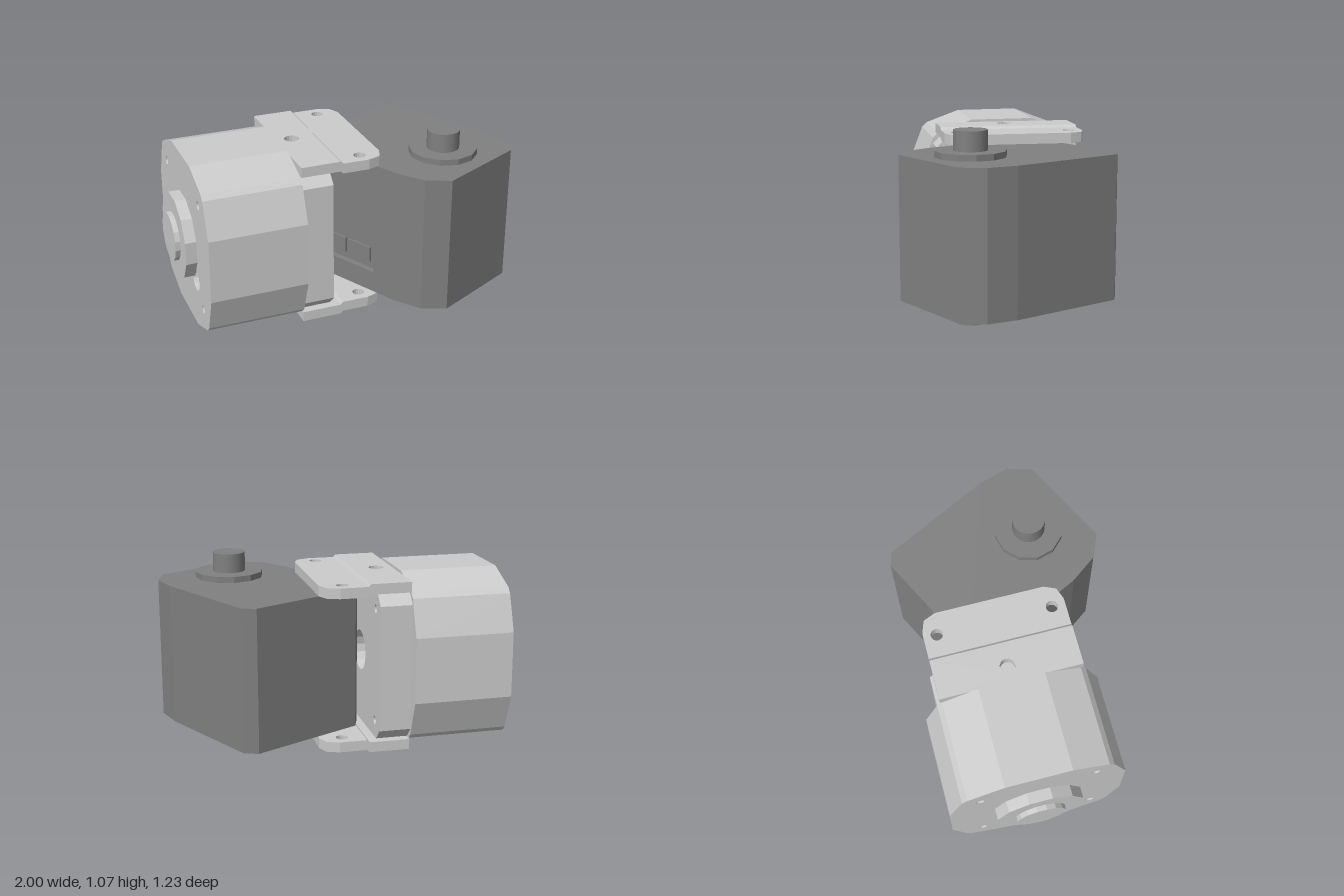
import * as THREE from 'three';

const light = new THREE.MeshStandardMaterial({ color: 0xcccccc });
const dark = new THREE.MeshStandardMaterial({ color: 0x808080 });

// Flat outline with round holes [u, v, radius]
function outline(points, holes = []) {
  const shape = new THREE.Shape(points.map(([u, v]) => new THREE.Vector2(u, v)));
  for (const [u, v, r] of holes) {
    shape.holes.push(new THREE.Path().absarc(u, v, r, 0, Math.PI * 2, true));
  }
  return shape;
}

const extrude = (shape, depth) =>
  new THREE.ExtrudeGeometry(shape, { depth, bevelEnabled: false, curveSegments: 8 });

// Plan outline in (x, z), raised from y0 to y1
function upright(points, holes, y0, y1) {
  const shape = outline(points.map(([x, z]) => [x, -z]), holes.map(([x, z, r]) => [x, -z, r]));
  return extrude(shape, y1 - y0).rotateX(-Math.PI / 2).translate(0, y0, 0);
}

// Outline in (-z, y) about the left motor axis, running from x0 to x1
const AXIS_Y = 0.512, AXIS_Z = -0.108;
const lengthwise = (points, holes, x0, x1) =>
  extrude(outline(points, holes), x1 - x0).rotateY(Math.PI / 2).translate(x0, AXIS_Y, AXIS_Z);

// Repeat one quadrant of a section all the way round
function fourfold(quadrant) {
  const points = [];
  for (let q = 0; q < 4; q++) {
    for (const [u, v] of quadrant) {
      points.push([[u, v], [-v, u], [-u, -v], [v, -u]][q]);
    }
  }
  return points;
}

function add(parent, name, geometry, material) {
  const mesh = new THREE.Mesh(geometry, material);
  mesh.name = name;
  parent.add(mesh);
  return mesh;
}

function createLightMotor() {
  const motor = new THREE.Group();
  motor.name = 'lightMotor';
  const screws = [];
  for (const u of [-0.33, 0.33]) for (const v of [-0.33, 0.33]) screws.push([u, v, 0.025]);

  // Faceted housing, with screw holes and a cable hole beside the end cap
  const section = fourfold([[0.507, 0.19], [0.43, 0.4], [0.4, 0.43], [0.19, 0.51]]
    .map(([u, v]) => [u, v]));
  add(motor, 'housing', lengthwise(section, [...screws, [-0.2, -0.2, 0.07]], -0.905, -0.33), light);

  // Chamfered front block with a central bore
  const block = fourfold([[0.43, 0.365], [0.365, 0.43]]);
  add(motor, 'frontBlock', lengthwise(block, [...screws, [0, 0, 0.12]], -0.33, -0.145), light);

  // Stepped end cap
  for (const [name, r, x0, x1, sides] of [
    ['endCap', 0.26, -0.97, -0.905, 12], ['endStub', 0.145, -1, -0.97, 16]]) {
    const disc = new THREE.CylinderGeometry(r, r, x1 - x0, sides, 1, false, Math.PI / sides)
      .rotateZ(Math.PI / 2).translate((x0 + x1) / 2, AXIS_Y, AXIS_Z);
    add(motor, name, disc.toNonIndexed(), light).geometry.computeVertexNormals();
  }
  return motor;
}

// Jogged bracket plate; the lower one is the upper one turned about the motor axis
function createBracket(name, flipped) {
  const bracket = new THREE.Group();
  bracket.name = name;
  const z0 = -0.52, z1 = 0.305;
  add(bracket, 'mountPlate', upright(
    [[-0.33, z0], [-0.33, z1], [-0.095, z1], [-0.095, z0]],
    [[-0.237, AXIS_Z, 0.044]], 0.945, 1.005), light);
  add(bracket, 'tongue', upright(
    [[-0.08, z0], [-0.08, z1], [0.08, z1], [0.15, 0.28], [0.18, 0.21],
      [0.18, -0.425], [0.15, -0.495], [0.08, z0]],
    [[0.05, -0.443, 0.035], [0.05, 0.227, 0.035]], 0.93, 0.99), light);
  const jog = outline([[-0.095, 0.945], [-0.08, 0.93], [-0.08, 0.99], [-0.095, 1.005]]);
  add(bracket, 'jog', extrude(jog, z1 - z0).translate(0, 0, z0), light);
  if (flipped) {
    bracket.rotation.x = Math.PI;
    bracket.position.set(0, 2 * AXIS_Y, z0 + z1);
  }
  return bracket;
}

function createDarkMotor() {
  const motor = new THREE.Group();
  motor.name = 'darkMotor';
  const y0 = 0.1, y1 = 0.925, inset = 0.0335;

  // Housing, with the connector side set in to take its panel
  add(motor, 'housing', upright([
    [-0.07, -0.285], [-0.1, -0.2], [-0.07, -0.215], [0.23, 0.385], [0.2, 0.4],
    [0.31, 0.55], [0.45, 0.61], [0.96, 0.355], [1, 0.21], [0.95, 0.04],
    [0.64, -0.575], [0.56, -0.6]], [], y0, y1), dark);

  // Side panel with the connector recess and two sockets
  const side = new THREE.Group();
  side.name = 'connectorSide';
  const length = Math.hypot(0.3, 0.6), height = y1 - y0;
  const panel = outline([[0, 0], [length, 0], [length, height], [0, height]]);
  panel.holes.push(new THREE.Path([[0.09, 0.13], [0.09, 0.31], [0.514, 0.31], [0.514, 0.13]]
    .map(([u, v]) => new THREE.Vector2(u, v))));
  add(side, 'panel', extrude(panel, inset), dark);
  for (const u of [0.196, 0.386]) {
    add(side, 'socket', new THREE.BoxGeometry(0.168, 0.095, 0.012).translate(u, 0.222, 0.006), dark);
  }
  side.rotation.y = -Math.atan2(2, 1);
  side.position.set(-0.07, y0, -0.215);
  motor.add(side);

  // Collar and shaft at both ends
  for (const [end, collar0, collar1, shaft0, shaft1] of [
    ['upper', y1, 0.96, 0.96, 1.072], ['lower', 0.068, y0, 0, 0.068]]) {
    for (const [part, r, a, b, sides] of [
      ['Collar', 0.2, collar0, collar1, 12], ['Shaft', 0.095, shaft0, shaft1, 24]]) {
      const disc = new THREE.CylinderGeometry(r, r, b - a, sides)
        .translate(0.576, (a + b) / 2, 0.23).toNonIndexed();
      if (part === 'Collar') disc.computeVertexNormals();
      add(motor, end + part, disc, dark);
    }
  }
  return motor;
}

export function createModel() {
  const model = new THREE.Group();
  model.name = 'twinMotorJoint';
  model.add(
    createLightMotor(),
    createBracket('upperBracket', false),
    createBracket('lowerBracket', true),
    createDarkMotor());
  return model;
}
